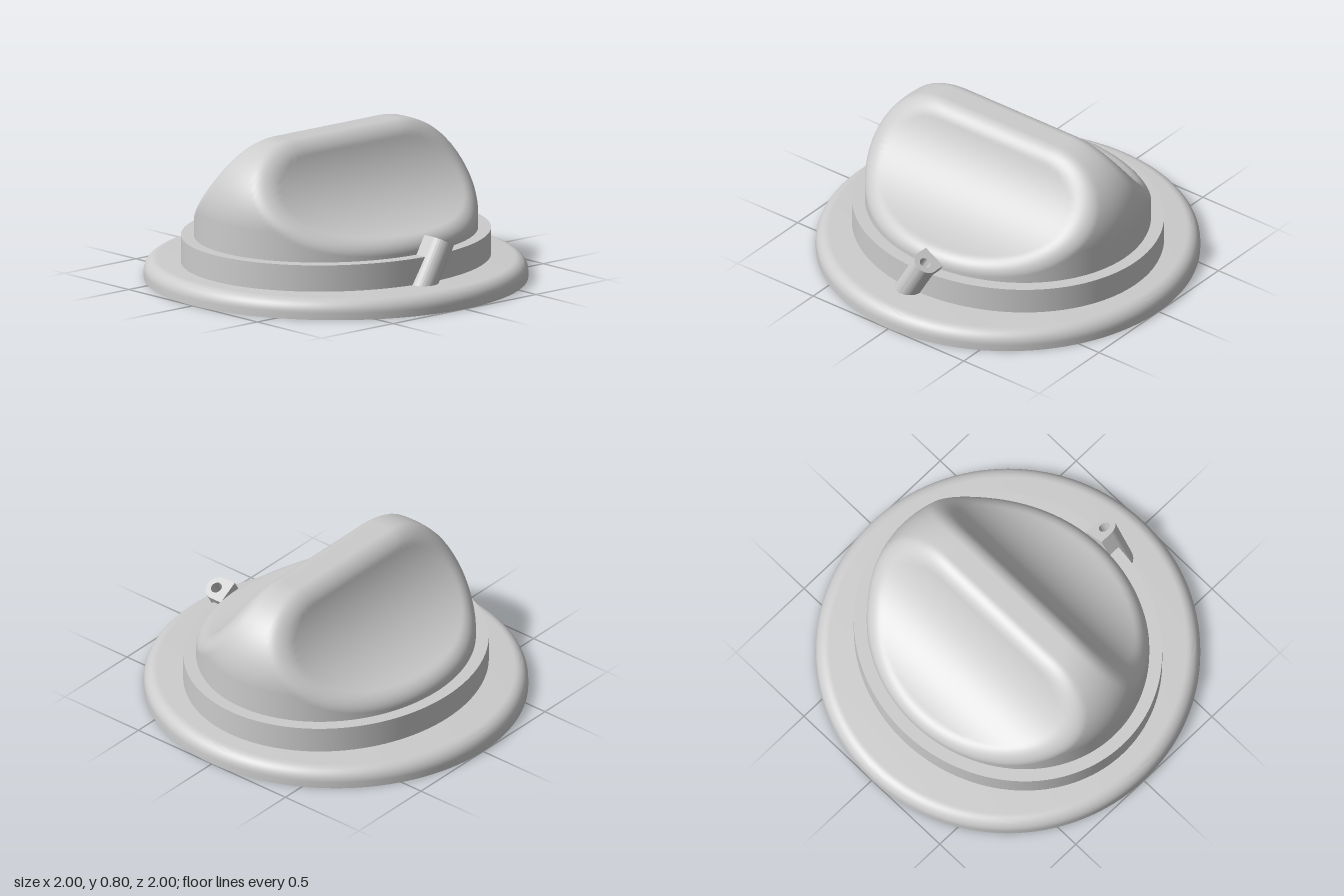
import * as THREE from 'three';
import { toCreasedNormals } from 'three/addons/utils/BufferGeometryUtils.js';

const material = new THREE.MeshStandardMaterial({ color: 0xcccccc });

function addMesh(group, name, geometry) {
  const mesh = new THREE.Mesh(geometry, material);
  mesh.name = name;
  group.add(mesh);
  return mesh;
}

// Signed distance of the grip: a domed elliptical plug with a cylindrical scoop cut
// from each side, all meeting edges rounded.
function gripDistance(x, y, z) {
  const a = 0.69, b = 0.777, top = 0.797, R = 0.4;
  const k0 = Math.hypot(x / a, z / b);
  const k1 = Math.hypot(x / (a * a), z / (b * b)) || 1;
  const wall = k0 * (k0 - 1) / k1 + R;
  const roof = y - top + R;
  const plug = Math.min(Math.max(wall, roof), 0) + Math.hypot(Math.max(wall, 0), Math.max(roof, 0)) - R;
  const scoop = 0.615 - Math.hypot(Math.abs(x) - 0.72, y - 0.945);
  const r = 0.07;
  return Math.min(-r, Math.max(plug, scoop)) + Math.hypot(Math.max(plug + r, 0), Math.max(scoop + r, 0));
}

// Wraps a dome grid around the grip by projecting from its middle
function gripGeometry() {
  const rings = 120, segments = 192, baseY = 0.2, e = 0.002;
  const positions = [], normals = [], index = [];
  for (let i = 0; i <= rings; i++) {
    const elevation = (Math.PI / 2) * Math.pow(i / rings, 1.3);
    for (let j = 0; j <= segments; j++) {
      const turn = (j / segments) * Math.PI * 2;
      const dx = Math.cos(elevation) * Math.cos(turn);
      const dy = Math.sin(elevation);
      const dz = Math.cos(elevation) * Math.sin(turn);
      let lo = 0.05, hi = 1.2;
      for (let n = 0; n < 30; n++) {
        const mid = (lo + hi) / 2;
        if (gripDistance(dx * mid, baseY + dy * mid, dz * mid) < 0) lo = mid;
        else hi = mid;
      }
      const x = dx * lo, y = baseY + dy * lo, z = dz * lo;
      positions.push(x, y, z);
      const normal = new THREE.Vector3(
        gripDistance(x + e, y, z) - gripDistance(x - e, y, z),
        gripDistance(x, y + e, z) - gripDistance(x, y - e, z),
        gripDistance(x, y, z + e) - gripDistance(x, y, z - e)
      ).normalize();
      normals.push(normal.x, normal.y, normal.z);
      if (i < rings && j < segments) {
        const p = i * (segments + 1) + j, up = p + segments + 1;
        index.push(p, up, p + 1, p + 1, up, up + 1);
      }
    }
  }
  const geometry = new THREE.BufferGeometry();
  geometry.setAttribute('position', new THREE.Float32BufferAttribute(positions, 3));
  geometry.setAttribute('normal', new THREE.Float32BufferAttribute(normals, 3));
  geometry.setIndex(index);
  return geometry;
}

export function createModel() {
  const group = new THREE.Group();
  group.name = 'rotaryKnob';

  // Round base plate with a rounded upper rim
  const height = 0.105, fillet = 0.07;
  const profile = [new THREE.Vector2(0, 0), new THREE.Vector2(1, 0)];
  for (let i = 0; i <= 10; i++) {
    const t = (i / 10) * Math.PI / 2;
    profile.push(new THREE.Vector2(1 - fillet + fillet * Math.cos(t), height - fillet + fillet * Math.sin(t)));
  }
  profile.push(new THREE.Vector2(0, height));
  addMesh(group, 'basePlate', toCreasedNormals(new THREE.LatheGeometry(profile, 128), 0.6));

  // Elliptical collar
  const collar = new THREE.CylinderGeometry(1, 1, 0.165, 128);
  collar.scale(0.757, 1, 0.845);
  addMesh(group, 'collar', collar).position.y = 0.1625;

  // Grip with a scoop on each side of the central ridge
  addMesh(group, 'grip', gripGeometry());

  // Leaning lug with a round outer side and a bore along its length
  const w = 0.066, length = 0.3;
  const outline = new THREE.Shape();
  outline.moveTo(0.688, -w);
  outline.lineTo(0.759, -w);
  outline.absarc(0.759, 0, w, -Math.PI / 2, Math.PI / 2, false);
  outline.lineTo(0.688, w);
  outline.closePath();
  const bore = new THREE.Path();
  bore.absarc(0.765, 0, 0.03, 0, Math.PI * 2, true);
  outline.holes.push(bore);
  const lug = new THREE.ExtrudeGeometry(outline, { depth: length, bevelEnabled: false, curveSegments: 24 });
  const lugMesh = addMesh(group, 'lug', toCreasedNormals(lug, 0.6));
  lugMesh.rotation.x = -Math.PI * 2 / 3;
  lugMesh.position.set(0, 0.05, 0.0925);

  return group;
}
